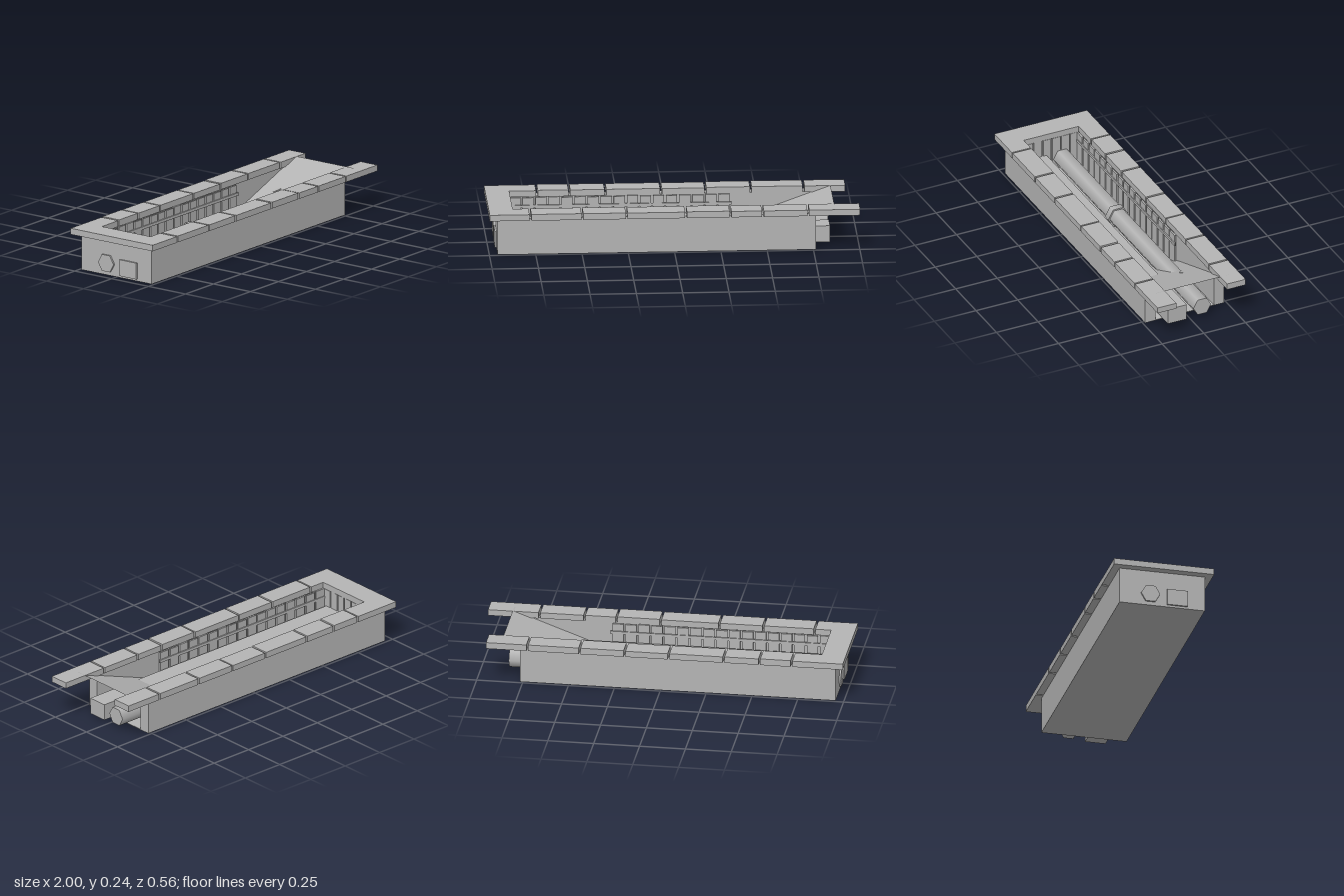
import * as THREE from 'three';

export function createModel() {
  const model = new THREE.Group();
  const stone = new THREE.MeshStandardMaterial({ color: 0xb4b4b4 });
  stone.name = 'grey stone';
  const sheet = new THREE.MeshStandardMaterial({ color: 0xb4b4b4, side: THREE.DoubleSide });
  sheet.name = 'grey ramp';

  let seed = 7;
  const rand = () => (seed = (seed * 16807) % 2147483647) / 2147483647;

  // Box given by its limits on each axis
  function box(name, x0, x1, y0, y1, z0, z1, parent = model) {
    const mesh = new THREE.Mesh(new THREE.BoxGeometry(x1 - x0, y1 - y0, z1 - z0), stone);
    mesh.position.set((x0 + x1) / 2, (y0 + y1) / 2, (z0 + z1) / 2);
    mesh.name = name;
    parent.add(mesh);
    return mesh;
  }
  // Six-sided pipe lying along x
  function pipe(name, x0, x1, y, z, r) {
    const mesh = new THREE.Mesh(new THREE.CylinderGeometry(r, r, x1 - x0, 6), stone);
    mesh.rotation.z = -Math.PI / 2;
    mesh.position.set((x0 + x1) / 2, y, z);
    mesh.name = name;
    model.add(mesh);
  }

  // Trench shell: side walls, closed end and floor
  for (const s of [1, -1]) {
    box(s > 0 ? 'leftWall' : 'rightWall', -0.955, 0.765, 0, 0.202, s > 0 ? 0.175 : -0.237, s > 0 ? 0.237 : -0.175);
  }
  box('endWall', -0.955, -0.88, 0, 0.202, -0.175, 0.175);
  box('floor', -0.88, 0.765, 0, 0.003, -0.175, 0.175);

  // Floor boards
  const boards = new THREE.Group();
  boards.name = 'floorBoards';
  model.add(boards);
  for (let i = 0; i < 6; i++) {
    const z = -0.163 + i * 0.0545;
    box('floorBoard', -0.87, 0.33, 0.003, 0.006, z, z + 0.0525, boards);
  }

  // Upright planks lining the walls, with a rail on each side
  const lining = new THREE.Group();
  lining.name = 'lining';
  model.add(lining);
  for (const s of [1, -1]) {
    for (let i = 0; i < 17; i++) {
      const x = -0.87 + i * 0.0706;
      const z = s * (0.16 + rand() * 0.003);
      box('sidePlank', x, x + 0.06, 0.003, 0.197 + rand() * 0.005, z - 0.005, z + 0.005, lining);
    }
    box('rail', -0.87, 0.33, 0.142, 0.158, s * 0.155 - 0.004, s * 0.155 + 0.004, lining);
  }
  for (let i = 0; i < 6; i++) {
    const z = -0.163 + i * 0.0545;
    box('endPlank', -0.88, -0.868 - rand() * 0.003, 0.003, 0.2, z, z + 0.047, lining);
  }

  // Sloping ramp that widens upwards
  const ramp = new THREE.BufferGeometry();
  ramp.setAttribute('position', new THREE.Float32BufferAttribute([
    0.217, 0.001, 0.163, 0.865, 0.237, 0.22, 0.865, 0.237, -0.22, 0.217, 0.001, -0.163], 3));
  ramp.setIndex([0, 1, 2, 0, 2, 3]);
  ramp.computeVertexNormals();
  const rampMesh = new THREE.Mesh(ramp, sheet);
  rampMesh.name = 'ramp';
  model.add(rampMesh);

  // Coping slabs along both rims, separated by narrow joints
  const coping = new THREE.Group();
  coping.name = 'copingSlabs';
  model.add(coping);
  const joints = {
    1: [-0.87, -0.78, -0.5, -0.26, 0.06, 0.3, 0.475, 0.72, 1.0],
    '-1': [-0.87, -0.72, -0.545, -0.35, -0.05, 0.19, 0.435, 0.72, 0.945],
  };
  for (const s of [1, -1]) {
    const cuts = joints[s];
    for (let i = 0; i < cuts.length - 1; i++) {
      const x0 = cuts[i] + (i ? 0.005 : 0);
      const x1 = cuts[i + 1] - (i < cuts.length - 2 ? 0.005 : 0);
      const dy = i ? rand() * 0.003 : 0.001;
      const inner = 0.165 + (i ? rand() * 0.004 : 0);
      box('copingSlab', x0, x1, 0.201, 0.234 + dy, s > 0 ? inner : -0.278, s > 0 ? 0.278 : -inner, coping);
    }
  }
  box('endSlab', -1, -0.87, 0.201, 0.235, -0.278, 0.278, coping);

  // Square duct and round main running through the trench
  box('duct', -0.965, 0.845, 0.012, 0.103, 0.027, 0.14);
  pipe('mainPipe', -0.965, 0.845, 0.067, -0.066, 0.053);
  pipe('pipeCollar', -0.22, -0.18, 0.067, -0.066, 0.062);

  // Loose stones by the ramp
  const loose = box('looseStone', 0.553, 0.597, 0.112, 0.132, -0.1, -0.065);
  loose.rotation.set(0, -0.5, 0.33);
  box('buriedStone', 0.45, 0.5, 0.028, 0.058, -0.13, -0.09);

  return model;
}
